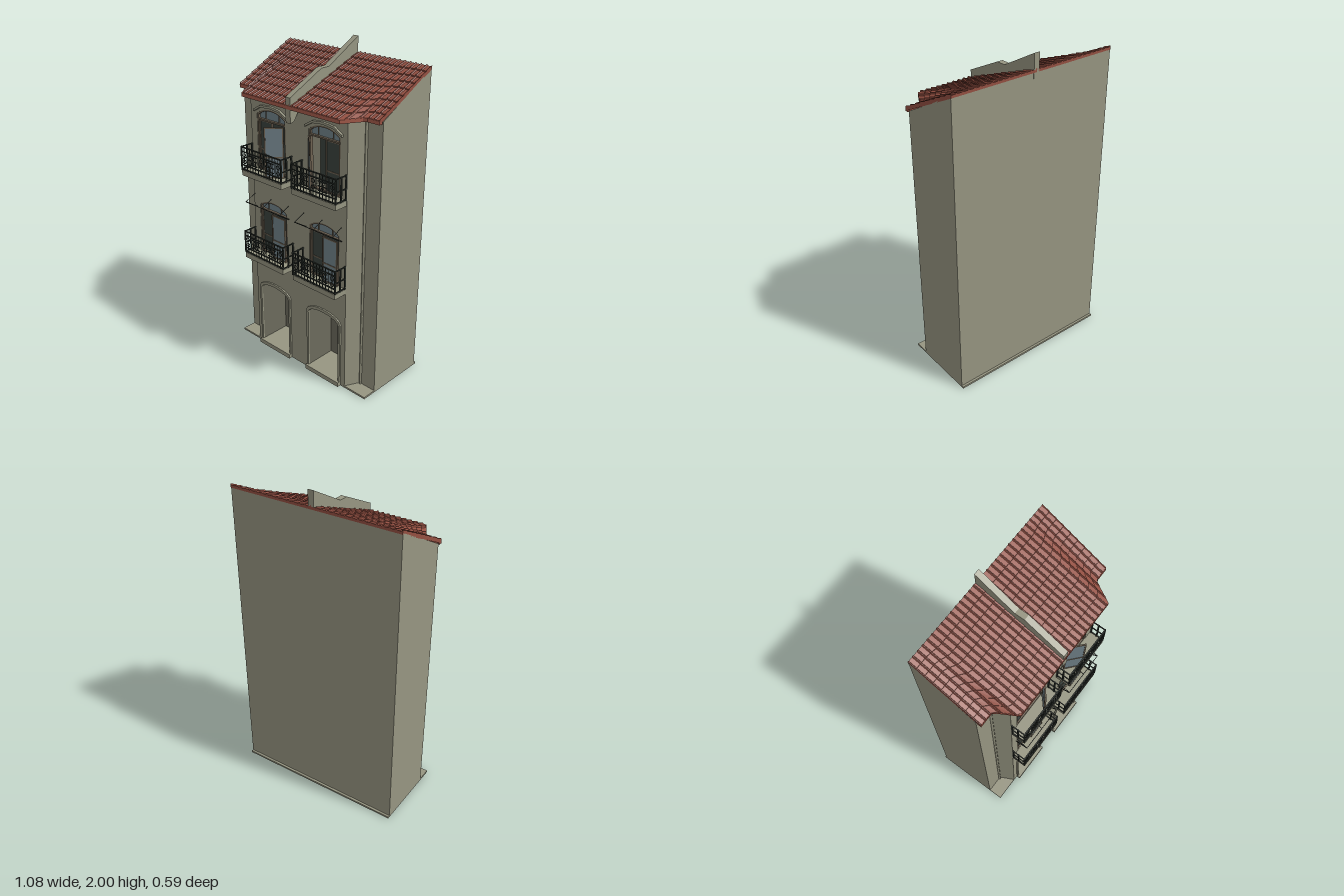
import * as THREE from 'three';

const mat = (name, color, double) => {
  const m = new THREE.MeshStandardMaterial({ color });
  m.name = name;
  if (double) m.side = THREE.DoubleSide;
  return m;
};

export function createModel() {
  const wall = mat('wall plaster', 0x969581);
  const recess = mat('shaded doorway', 0x6c6b5d, true);
  const panel = mat('door panel', 0x5f5e51);
  const tile = mat('roof tile', 0x934f41, true);
  const eave = mat('eave tile', 0xa65c4c);
  const iron = mat('iron', 0x2a302b);
  const frame = mat('window frame', 0x6e6252);
  const glass = mat('glass', 0x72838b, true);
  const dark = mat('dark pane', 0x3b433e, true);

  const model = new THREE.Group();
  model.name = 'townhouse';

  const add = (parent, name, geo, m) => {
    const mesh = new THREE.Mesh(geo, m);
    mesh.name = name;
    parent.add(mesh);
    return mesh;
  };
  // Box given by its two opposite corners
  const box = (parent, name, m, x0, x1, y0, y1, z0, z1) => {
    const mesh = add(parent, name, new THREE.BoxGeometry(x1 - x0, y1 - y0, z1 - z0), m);
    mesh.position.set((x0 + x1) / 2, (y0 + y1) / 2, (z0 + z1) / 2);
    return mesh;
  };
  // Thin round rod between two points
  const rod = (parent, name, m, a, b, r = 0.003) => {
    const A = new THREE.Vector3(...a), B = new THREE.Vector3(...b);
    const mesh = add(parent, name, new THREE.CylinderGeometry(r, r, A.distanceTo(B), 6), m);
    mesh.position.copy(A).add(B).multiplyScalar(0.5);
    mesh.quaternion.setFromUnitVectors(new THREE.Vector3(0, 1, 0), B.sub(A).normalize());
    return mesh;
  };
  // Arched outline: straight sides up to ys, crown at yt, k sets how square it is
  const arch = (path, cx, w, y0, ys, yt, k) => {
    const h = w / 2, c = ys + (yt - ys) * 4 / 3;
    path.moveTo(cx - h, y0);
    path.lineTo(cx + h, y0);
    path.lineTo(cx + h, ys);
    path.bezierCurveTo(cx + h * k, c, cx - h * k, c, cx - h, ys);
    path.lineTo(cx - h, y0);
    return path;
  };
  const extrude = (parent, name, shape, m, z0, z1) => {
    const geo = new THREE.ExtrudeGeometry(shape, { depth: z1 - z0, bevelEnabled: false, curveSegments: 10 });
    const mesh = add(parent, name, geo, m);
    mesh.position.z = z0;
    return mesh;
  };
  const poly = pts => new THREE.Shape(pts.map(p => new THREE.Vector2(...p)));
  // Side profile of (z, y) points, extruded along x
  const sideExtrude = (name, pts, m, x0, x1) => {
    const mesh = extrude(model, name, poly(pts.map(([z, y]) => [-z, y])), m, 0, x1 - x0);
    mesh.rotation.y = Math.PI / 2;
    mesh.position.set(x0, 0, 0);
  };

  // Base, rear block and side wings
  box(model, 'base', wall, -0.54, 0.54, 0, 0.012, -0.295, 0.2);
  sideExtrude('rearBlock', [[0, 0.01], [0, 1.77], [-0.28, 1.9], [-0.28, 0.01]], wall, -0.38, 0.38);
  const wing = [[0.11, 0.01], [0.11, 1.69], [-0.28, 1.9], [-0.28, 0.01]];
  sideExtrude('leftWing', wing, wall, 0.38, 0.54);
  sideExtrude('rightWing', wing, wall, -0.54, -0.38);

  // Facade with arched openings
  const floors = [
    { y0: 0.685, leaf: 0.97, ys: 1.0, yt: 1.04 },
    { y0: 1.235, leaf: 1.54, ys: 1.575, yt: 1.615 },
  ];
  const facade = poly([[-0.38, 0.01], [0.38, 0.01], [0.38, 1.7], [-0.38, 1.7]]);
  for (const cx of [-0.21, 0.21]) {
    facade.holes.push(arch(new THREE.Path(), cx, 0.245, 0.02, 0.42, 0.462, 0.9));
    for (const f of floors) facade.holes.push(arch(new THREE.Path(), cx, 0.235, f.y0, f.ys, f.yt, 0.5));
  }
  extrude(model, 'facade', facade, [wall, recess], 0, 0.2);

  // Canted corners and downpipes
  for (const s of [-1, 1]) {
    const cant = poly([[s * 0.38, -0.2], [s * 0.425, -0.11], [s * 0.38, -0.11]]);
    const mesh = extrude(model, 'cantedCorner', cant, wall, 0, 1.69);
    mesh.rotation.x = -Math.PI / 2;
    mesh.position.y = 0.01;
    rod(model, 'downpipe', wall, [s * 0.433, 0.012, 0.113], [s * 0.433, 1.69, 0.113], 0.008);
  }

  // Roof of stepped tile courses; the front edge steps back at the sides
  const ROWS = 9, COLS = 30, W = 1.08 / COLS;
  const eaveZ = x => 0.265 - 0.125 * THREE.MathUtils.clamp((Math.abs(x) - 0.38) / 0.07, 0, 1);
  const point = (x, t, lift) => [x, 1.908 - 0.212 * t + lift, -0.283 + t * (eaveZ(x) + 0.283)];
  const section = [];
  for (let i = 0; i < COLS; i++) {
    for (const [dx, h] of [[0, 0.007], [0.004, 0.007], [0.008, 0], [W - 0.004, 0]]) section.push([-0.54 + i * W + dx, h]);
  }
  section.push([0.54, 0.007]);
  const lines = [[0, -0.016, 0]];
  for (let r = 0; r < ROWS; r++) lines.push([r / ROWS, 0, 1], [(r + 1) / ROWS, 0.006, 1]);
  lines.push([1, -0.016, 0], [0, -0.016, 0]);
  const grid = lines.map(([t, l, ridge]) => section.map(([x, h]) => point(x, t, l + h * ridge)));
  const pos = [];
  const quad = (a, b, c, d) => pos.push(...a, ...b, ...c, ...a, ...c, ...d);
  for (let j = 0; j < grid.length - 1; j++) {
    const g = grid[j], n = grid[j + 1], last = section.length - 1;
    for (let i = 0; i < last; i++) quad(g[i], n[i], n[i + 1], g[i + 1]);
    for (const [i, x] of [[0, -0.54], [last, 0.54]]) {
      const lo = point(x, lines[j][0], -0.016), lo2 = point(x, lines[j + 1][0], -0.016);
      if (i) quad(g[i], n[i], lo2, lo); else quad(lo, lo2, n[i], g[i]);
    }
  }
  const roof = new THREE.BufferGeometry();
  roof.setAttribute('position', new THREE.Float32BufferAttribute(pos, 3));
  roof.computeVertexNormals();
  add(model, 'tiledRoof', roof, tile);

  // Eave board following the front edge
  const edge = [[-0.54, 0.14], [-0.45, 0.14], [-0.38, 0.265], [0.38, 0.265], [0.45, 0.14], [0.54, 0.14]];
  const board = poly([...edge.map(([x, z]) => [x, -z - 0.003]), ...edge.map(([x, z]) => [x, -z + 0.02]).reverse()]);
  const eaveMesh = extrude(model, 'eaveBoard', board, eave, 0, 0.021);
  eaveMesh.rotation.x = -Math.PI / 2;
  eaveMesh.position.y = 1.679;

  // Party wall rising through the roof
  sideExtrude('partyWall', [[0.265, 1.6], [0.265, 1.745], [0.02, 1.865], [-0.04, 1.865], [-0.283, 2], [-0.283, 1.86],
    [0, 1.74], [0.19, 1.66], [0.205, 1.655], [0.235, 1.61]], wall, -0.018, 0.018);

  // Doorways
  for (const cx of [-0.21, 0.21]) {
    const door = new THREE.Group();
    door.name = 'doorway';
    model.add(door);
    const trim = arch(new THREE.Shape(), cx, 0.275, 0.01, 0.43, 0.482, 0.9);
    trim.holes.push(arch(new THREE.Path(), cx, 0.245, 0.01, 0.42, 0.462, 0.9));
    extrude(door, 'doorSurround', trim, wall, 0.2, 0.21);
    box(door, 'doorStep', wall, cx - 0.138, cx + 0.138, 0.001, 0.03, 0.2, 0.225);
    box(door, 'doorFloor', wall, cx - 0.122, cx + 0.122, 0.013, 0.03, 0, 0.2);
    extrude(door, 'doorBack', arch(new THREE.Shape(), cx, 0.245, 0.02, 0.42, 0.462, 0.9), recess, 0.001, 0.006);
    box(door, 'innerDoor', panel, cx - 0.06, cx + 0.09, 0.03, 0.31, 0.006, 0.013);
  }

  // Window leaf, hinged at its local x = 0 and spreading towards dir
  const makeLeaf = (parent, name, pane, w, h, dir) => {
    const g = new THREE.Group();
    g.name = name;
    parent.add(g);
    const x0 = dir < 0 ? -w : 0, x1 = x0 + w;
    box(g, 'pane', pane, x0 + 0.006, x1 - 0.006, 0.006, h - 0.006, -0.002, 0.002);
    for (const x of [x0, x1 - 0.008]) box(g, 'stile', frame, x, x + 0.008, 0, h, -0.005, 0.005);
    for (const y of [0, h * 0.4, h - 0.008]) box(g, 'crossbar', frame, x0, x1, y, y + 0.008, -0.004, 0.004);
    return g;
  };

  // Balcony with an iron railing
  const makeBalcony = (cx, y) => {
    const g = new THREE.Group();
    g.name = 'balcony';
    g.position.set(cx, y, 0);
    model.add(g);
    const h = 0.168, zf = 0.288;
    box(g, 'balconySlab', wall, -h, h, -0.033, 0, 0.2, 0.29);
    for (const dy of [0.008, 0.035, 0.118, 0.146]) {
      box(g, 'frontRail', iron, -h - 0.004, h + 0.004, dy - 0.003, dy + 0.003, zf - 0.004, zf + 0.004);
    }
    for (const s of [-h, h]) {
      for (const dy of [0.008, 0.07, 0.146]) box(g, 'sideRail', iron, s - 0.003, s + 0.003, dy - 0.003, dy + 0.003, 0.2, zf);
      for (const z of [0.206, 0.245, zf]) box(g, 'post', iron, s - 0.004, s + 0.004, 0, 0.15, z - 0.004, z + 0.004);
    }
    for (let i = 1; i < 14; i++) {
      const x = -h + i * h / 7;
      rod(g, 'baluster', iron, [x, 0, zf], [x, 0.146, zf], 0.0025);
    }
    for (const x of [-0.144, -0.072, 0, 0.072, 0.144]) {
      for (const dy of [0.058, 0.095]) {
        add(g, 'ironRing', new THREE.TorusGeometry(0.013, 0.003, 4, 8), iron).position.set(x, dy, zf);
      }
    }
    for (const x of [-0.072, 0.072]) {
      for (const dy of [0.05, 0.077, 0.104]) box(g, 'ornamentBar', iron, x - 0.036, x + 0.036, dy - 0.003, dy + 0.003, zf - 0.002, zf + 0.002);
    }
  };

  // Windows, balconies and their fittings
  for (const s of [-1, 1]) {
    floors.forEach((f, level) => {
      const cx = s * 0.21, h = f.leaf - f.y0;
      const win = new THREE.Group();
      win.name = 'window';
      model.add(win);
      const ring = arch(new THREE.Shape(), cx, 0.235, f.y0, f.ys, f.yt, 0.5);
      ring.holes.push(arch(new THREE.Path(), cx, 0.215, f.y0 + 0.008, f.ys - 0.004, f.yt - 0.01, 0.5));
      extrude(win, 'windowFrame', ring, frame, 0.175, 0.197);
      extrude(win, 'windowBack', arch(new THREE.Shape(), cx, 0.235, f.y0, f.ys, f.yt, 0.5), dark, 0.1, 0.105);
      extrude(win, 'transomGlass', arch(new THREE.Shape(), cx, 0.225, f.leaf, f.ys, f.yt - 0.005, 0.5), glass, 0.18, 0.184);
      box(win, 'transomBar', frame, cx - 0.115, cx + 0.115, f.leaf, f.leaf + 0.01, 0.176, 0.199);
      for (const x of [-0.055, 0.055]) box(win, 'mullion', frame, cx + x - 0.002, cx + x + 0.002, f.leaf, f.yt - 0.008, 0.178, 0.19);

      // Upper leaves swing outwards, lower ones stand in front of the frame
      const darkSide = level ? s : -1;
      makeLeaf(win, 'darkLeaf', dark, 0.107, h, darkSide).position.set(cx + darkSide * 0.002, f.y0, 0.186);
      if (level) {
        const leaf = makeLeaf(win, 'openLeaf', glass, 0.112, h, s);
        leaf.position.set(s * 0.1, f.y0, 0.207);
        leaf.rotation.y = -s * 0.72;
        const hood = [[-0.137, 1.6], [-0.08, 1.633], [0, 1.642], [0.08, 1.633], [0.137, 1.6]];
        const top = hood.map(([x, y]) => [cx + x, y]);
        extrude(win, 'hoodMoulding', poly([...top, ...top.map(([x, y]) => [x, y - 0.014]).reverse()]), wall, 0.198, 0.214);
      } else {
        makeLeaf(win, 'glassLeaf', glass, 0.115, h, 1).position.set(cx, f.y0, 0.212);
        // Folding awning arms
        for (const x of [-0.145, 0, 0.145]) {
          rod(win, 'awningStay', iron, [cx + x, 1.07, 0.215], [cx + x, 1.035, 0.29], 0.002);
          if (x) rod(win, 'awningArm', iron, [cx + x * 0.95, 0.98, 0.205], [cx + x, 1.035, 0.29], 0.003);
        }
        rod(win, 'awningRail', iron, [cx - 0.148, 1.035, 0.29], [cx + 0.148, 1.035, 0.29], 0.002);
      }
      makeBalcony(cx, f.y0);
    });
  }
  return model;
}
